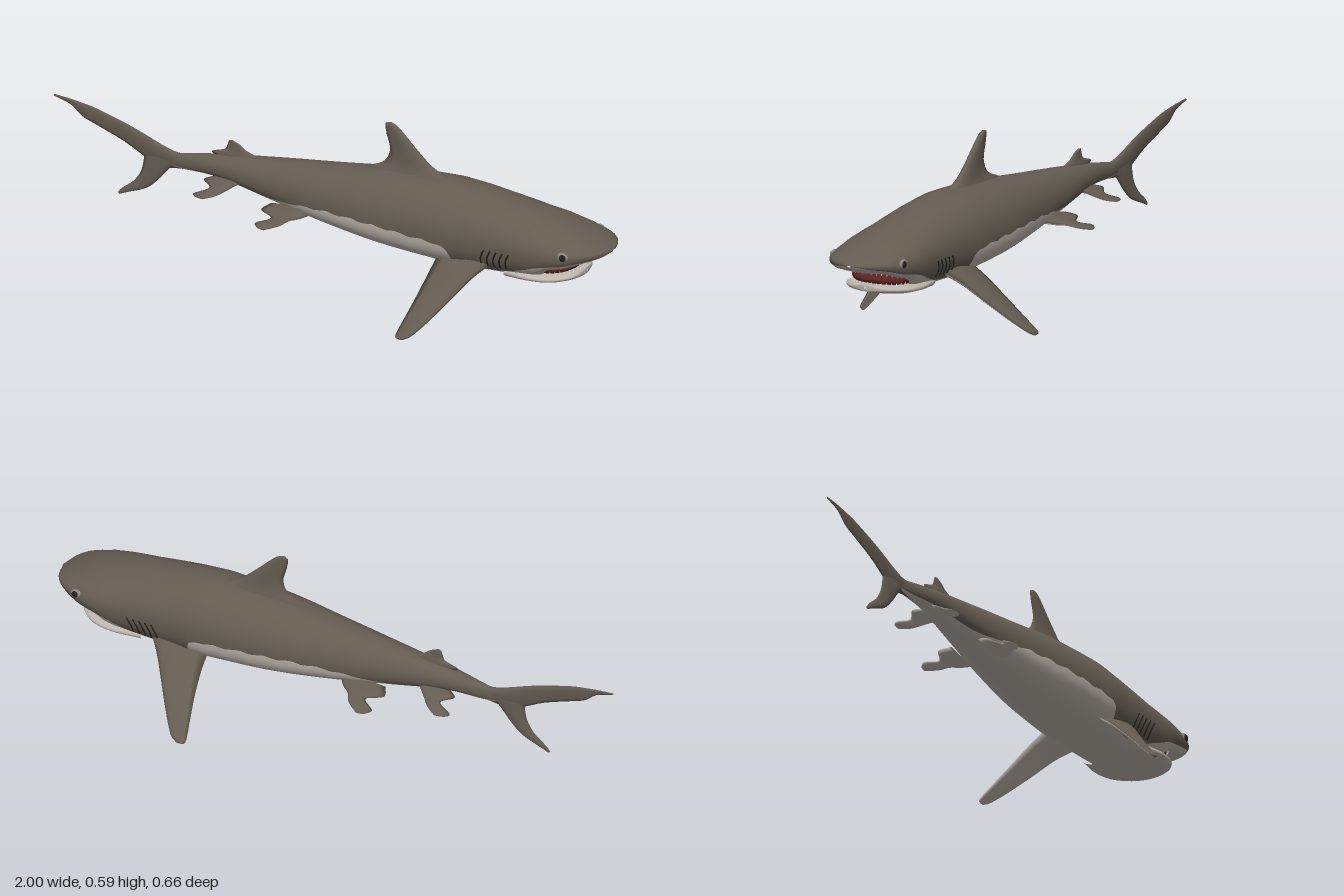
import * as THREE from 'three';

const mat = (name, color, side = THREE.FrontSide) => {
  const m = new THREE.MeshStandardMaterial({ color, side });
  m.name = name;
  return m;
};
const V = (x, y, z) => new THREE.Vector3(x, y, z);
const spline = pts => new THREE.CatmullRomCurve3(pts, false, 'catmullrom', 0.5);
const step = THREE.MathUtils.smoothstep;

// Skins equal closed rings; columns below `split` use material 0, the rest material 1
function loft(rings, split, flip = false) {
  const n = rings[0].length, pos = rings.flat().flatMap(p => [p.x, p.y, p.z]), index = [];
  const geo = new THREE.BufferGeometry();
  [[0, split], [split, n]].forEach(([from, to], g) => {
    const start = index.length;
    for (let i = 0; i < rings.length - 1; i++) for (let j = from; j < to; j++) {
      const k = (j + 1) % n, a = i * n + j, b = a + n, c = (i + 1) * n + k, d = i * n + k;
      index.push(...(flip ? [a, c, b, a, d, c] : [a, b, c, a, c, d]));
    }
    if (index.length > start) geo.addGroup(start, index.length - start, g);
  });
  geo.setAttribute('position', new THREE.Float32BufferAttribute(pos, 3));
  geo.setIndex(index);
  geo.computeVertexNormals();
  return geo;
}

// Body stations: x, top, bottom, half width, height of widest point, belly colour line
const BODY = [
  [-0.62, 0.322, 0.302, 0.004, 0.312, 0.305], [-0.55, 0.335, 0.285, 0.014, 0.31, 0.292],
  [-0.4, 0.36, 0.285, 0.038, 0.32, 0.293], [-0.2, 0.385, 0.25, 0.07, 0.31, 0.27],
  [0, 0.407, 0.215, 0.102, 0.3, 0.284], [0.2, 0.43, 0.19, 0.13, 0.295, 0.283],
  [0.4, 0.44, 0.177, 0.144, 0.295, 0.272], [0.465, 0.438, 0.175, 0.145, 0.295, 0.258],
  [0.49, 0.436, 0.175, 0.144, 0.295, 0.205], [0.55, 0.43, 0.175, 0.142, 0.295, 0.2],
  [0.65, 0.413, 0.178, 0.141, 0.295, 0.205], [0.73, 0.398, 0.185, 0.143, 0.292, 0.23],
  [0.78, 0.388, 0.195, 0.145, 0.292, 0.25], [0.82, 0.379, 0.222, 0.144, 0.292, 0.26],
  [0.88, 0.361, 0.24, 0.135, 0.297, 0.272], [0.94, 0.338, 0.272, 0.112, 0.305, 0.29],
  [0.98, 0.32, 0.29, 0.07, 0.307, 0.298], [1, 0.307, 0.303, 0.006, 0.305, 0.304],
];
const heights = spline(BODY.map(r => V(r[0], r[1], r[2])));
const widths = spline(BODY.map(r => V(r[3], r[4], r[5])));

function section(t) {
  const a = heights.getPoint(t), b = widths.getPoint(t);
  return { x: a.x, top: a.y, bot: a.z, w: b.x, cy: b.y, line: b.z };
}

// Half width of the body skin at a given x and y
function skinZ(x, y) {
  let lo = 0, hi = 1;
  for (let i = 0; i < 30; i++) {
    const m = (lo + hi) / 2;
    if (heights.getPoint(m).x < x) lo = m; else hi = m;
  }
  const s = section(lo);
  if (y > s.cy) return s.w * Math.sqrt(Math.max(0, 1 - ((y - s.cy) / (s.top - s.cy)) ** 2));
  const q = Math.min(1, (s.cy - y) / (s.cy - s.bot)) ** (1 / 0.85);
  return s.w * Math.sqrt(1 - q * q) ** 0.75;
}

function bodyGeometry() {
  const rings = [], back = 22, belly = 18, steps = 136;
  for (let i = 0; i <= steps; i++) {
    const s = section(i / steps), hd = s.cy - s.bot;
    const ragged = 0.004 * Math.sin(s.x * 70) * step(s.x, -0.2, 0) * (1 - step(s.x, 0.38, 0.45));
    const q = THREE.MathUtils.clamp((s.cy - s.line - ragged) / hd, 0.02, 0.98);
    const a0 = -Math.asin(q ** (1 / 0.85));
    // arched roof of the mouth
    const arch = 0.022 * step(s.x, 0.79, 0.84) * (1 - step(s.x, 0.89, 0.95));
    const ring = [];
    for (let j = 0; j < back + belly; j++) {
      const a = j < back ? a0 + (Math.PI - 2 * a0) * j / back
        : Math.PI - a0 + (Math.PI + 2 * a0) * (j - back) / belly;
      const c = Math.cos(a), sn = Math.sin(a);
      if (sn >= 0) ring.push(V(s.x, s.cy + (s.top - s.cy) * sn, s.w * c));
      else ring.push(V(s.x, s.cy - hd * (-sn) ** 0.85 + arch * step(-sn, 0.6, 0.95),
        s.w * Math.sign(c) * Math.abs(c) ** 0.75));
    }
    rings.push(ring);
  }
  return loft(rings, back);
}

// Fin from sections [lead xyz, trail xyz, half thickness], root to tip
function finGeometry(rows, normal, side = 1) {
  const lead = spline(rows.map(r => V(r[0], r[1], r[2] * side)));
  const trail = spline(rows.map(r => V(r[3], r[4], r[5] * side)));
  const thick = spline(rows.map(r => V(r[6], 0, 0)));
  const n = V(normal[0], normal[1], normal[2] * side).normalize();
  const rings = [], steps = 24, m = 10;
  for (let i = 0; i <= steps + 1; i++) {
    const t = Math.min(1, i / steps), l = lead.getPoint(t), r = trail.getPoint(t);
    const th = i > steps ? 0 : thick.getPoint(t).x, ring = [];
    for (let j = 0; j < 2 * m; j++) {
      const u = (j <= m ? j / m : 2 - j / m) ** 1.5;
      const h = th * Math.sqrt(u) * (1 - u) / 0.385 * (j <= m ? 1 : -1);
      ring.push(l.clone().lerp(r, u).addScaledVector(n, h));
    }
    rings.push(ring);
  }
  const span = lead.getPoint(0.5).sub(lead.getPoint(0));
  const chord = trail.getPoint(0.3).sub(lead.getPoint(0.3));
  return loft(rings, m, span.cross(chord).dot(n) < 0);
}
const upright = rows => rows.map(([lx, ly, tx, ty, th]) => [lx, ly, 0, tx, ty, 0, th]);

const DORSAL = upright([[0.48, 0.405, 0.13, 0.405, 0.036], [0.41, 0.436, 0.11, 0.422, 0.024],
  [0.355, 0.462, 0.175, 0.45, 0.017], [0.305, 0.505, 0.2, 0.495, 0.013], [0.262, 0.548, 0.188, 0.55, 0.01],
  [0.228, 0.58, 0.183, 0.582, 0.008], [0.205, 0.591, 0.19, 0.59, 0.005]]);
const SECOND_DORSAL = upright([[-0.24, 0.35, -0.42, 0.35, 0.014], [-0.28, 0.376, -0.435, 0.366, 0.01],
  [-0.315, 0.39, -0.39, 0.382, 0.007], [-0.335, 0.405, -0.38, 0.4, 0.005], [-0.36, 0.416, -0.375, 0.415, 0.003]]);
const TAIL_UPPER = upright([[-0.5, 0.338, -0.5, 0.285, 0.018], [-0.56, 0.335, -0.56, 0.28, 0.012],
  [-0.62, 0.354, -0.62, 0.275, 0.009], [-0.68, 0.378, -0.68, 0.3, 0.008], [-0.75, 0.403, -0.75, 0.337, 0.006],
  [-0.85, 0.432, -0.85, 0.375, 0.005], [-0.9, 0.441, -0.9, 0.395, 0.004], [-0.94, 0.447, -0.94, 0.427, 0.003],
  [-1, 0.452, -1, 0.446, 0.002]]);
const TAIL_LOWER = upright([[-0.55, 0.3, -0.68, 0.315, 0.009], [-0.585, 0.277, -0.68, 0.285, 0.009],
  [-0.625, 0.23, -0.69, 0.245, 0.007], [-0.67, 0.19, -0.715, 0.207, 0.006], [-0.735, 0.163, -0.755, 0.175, 0.004],
  [-0.765, 0.15, -0.772, 0.156, 0.002]]);
const PECTORAL = [[0.63, 0.235, 0.1, 0.42, 0.21, 0.1, 0.022], [0.575, 0.185, 0.155, 0.415, 0.17, 0.155, 0.017],
  [0.525, 0.12, 0.215, 0.405, 0.115, 0.215, 0.012], [0.475, 0.058, 0.275, 0.39, 0.055, 0.275, 0.009],
  [0.437, 0.018, 0.316, 0.38, 0.014, 0.316, 0.007], [0.41, 0.003, 0.328, 0.385, 0.003, 0.326, 0.004]];
const PELVIC = [[-0.04, 0.25, 0.06, -0.2, 0.25, 0.05, 0.014], [-0.07, 0.24, 0.095, -0.215, 0.24, 0.09, 0.01],
  [-0.1, 0.235, 0.12, -0.165, 0.233, 0.12, 0.007], [-0.12, 0.225, 0.15, -0.205, 0.22, 0.15, 0.006],
  [-0.16, 0.214, 0.178, -0.19, 0.214, 0.172, 0.003]];
const REAR = [[-0.3, 0.295, 0.025, -0.42, 0.29, 0.02, 0.01], [-0.325, 0.285, 0.048, -0.445, 0.28, 0.04, 0.008],
  [-0.35, 0.27, 0.07, -0.41, 0.27, 0.07, 0.006], [-0.375, 0.256, 0.093, -0.455, 0.25, 0.09, 0.004],
  [-0.41, 0.247, 0.114, -0.445, 0.247, 0.108, 0.003]];

export function createModel() {
  const group = new THREE.Group();
  const grey = mat('back grey', 0x645c51), pale = mat('belly pale', 0xbdb4ac), red = mat('mouth red', 0x5e2323);
  const dark = mat('slit dark', 0x24211f), white = mat('tooth white', 0xe6e1d8), iris = mat('iris grey', 0x8f8a80);
  const add = (name, geo, material) => {
    const mesh = new THREE.Mesh(geo, material);
    mesh.name = name;
    group.add(mesh);
    return mesh;
  };
  const ball = (name, p, r, material) => {
    const m = add(name, new THREE.SphereGeometry(1, 28, 18), material);
    m.position.set(...p);
    m.scale.set(...r);
    return m;
  };

  add('body', bodyGeometry(), [grey, pale]);

  // Lower jaw and mouth
  const jaw = spline([[0.66, 0.2, 0.11], [0.75, 0.2045, 0.128], [0.82, 0.207, 0.12], [0.87, 0.211, 0.09],
    [0.895, 0.214, 0.055], [0.905, 0.216, 0.003]].map(p => V(...p)));
  const jawRings = [];
  for (let i = 0; i <= 30; i++) {
    const p = jaw.getPoint(i / 30), h = i === 30 ? 0.002 : Math.max(0.006, 0.226 - p.y), ring = [];
    for (let j = 0; j < 24; j++) {
      const a = j / 24 * Math.PI * 2;
      ring.push(V(p.x, p.y + h * Math.sin(a), p.z * Math.sign(Math.cos(a)) * Math.abs(Math.cos(a)) ** 0.7));
    }
    jawRings.push(ring);
  }
  add('lowerJaw', loft(jawRings, 24), [pale]);
  ball('mouthInterior', [0.79, 0.237, 0], [0.09, 0.033, 0.108], red);

  // Teeth in two arcs
  for (let i = 0; i < 17; i++) {
    const a = (i / 16 - 0.5) * 2.5, c = Math.cos(a), s = Math.sin(a);
    const low = add('lowerTooth', new THREE.ConeGeometry(0.003, 0.01, 5), white);
    low.position.set(0.79 + 0.1 * c, 0.228, 0.105 * s);
    const up = add('upperTooth', new THREE.ConeGeometry(0.003, 0.01, 5), white);
    up.position.set(0.79 + 0.105 * c, 0.263 - 0.017 * s * s, 0.11 * s);
    up.rotation.x = Math.PI;
  }

  // Single fins
  add('dorsalFin', finGeometry(DORSAL, [0, 0, 1]), grey);
  add('secondDorsalFin', finGeometry(SECOND_DORSAL, [0, 0, 1]), grey);
  add('tailUpperLobe', finGeometry(TAIL_UPPER, [0, 0, 1]), grey);
  add('tailLowerLobe', finGeometry(TAIL_LOWER, [0, 0, 1]), grey);

  // Paired parts
  for (const side of [1, -1]) {
    add('pectoralFin', finGeometry(PECTORAL, [0, 0.75, 0.66], side), [grey, pale]);
    add('pelvicFin', finGeometry(PELVIC, [0, 0.95, 0.3], side), [grey, pale]);
    add('rearFin', finGeometry(REAR, [0, 0.87, 0.5], side), [grey, pale]);

    const ez = skinZ(0.882, 0.306);
    ball('eye', [0.882, 0.306, side * (ez - 0.002)], [0.02, 0.016, 0.008], iris);
    ball('pupil', [0.884, 0.306, side * (ez + 0.003)], [0.012, 0.012, 0.005], dark);
    ball('nostril', [0.955, 0.296, side * 0.075], [0.008, 0.005, 0.014], dark);

    // Gill slits follow the skin
    for (let k = 0; k < 5; k++) {
      const pts = [0, 1, 2, 3, 4].map(i => {
        const y = 0.222 + i * 0.015, x = 0.59 + k * 0.022 + i * 0.004 - 0.006 * Math.sin(i * 0.8);
        return V(x, y, side * skinZ(x, y));
      });
      add('gillSlit', new THREE.TubeGeometry(spline(pts), 12, 0.0028, 6), dark);
    }
  }
  return group;
}
